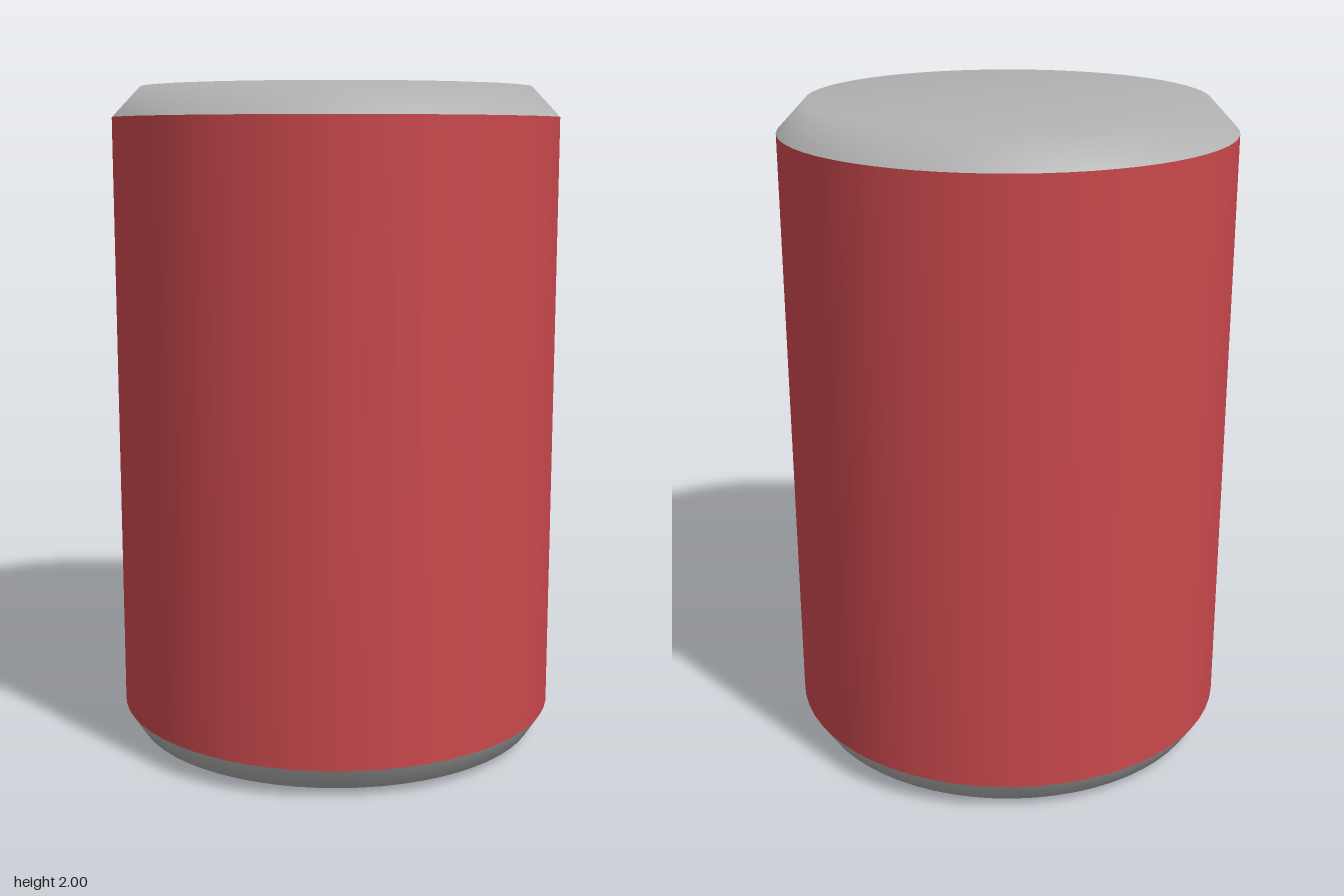
import * as THREE from 'three';

export function createModel() {
  const group = new THREE.Group();
  const red = new THREE.MeshStandardMaterial({ color: 0xc9484c });
  red.name = 'red paint';
  const metal = new THREE.MeshStandardMaterial({ color: 0xb2b2b2 });
  metal.name = 'bare metal';

  const add = (name, geometry, material) => {
    const mesh = new THREE.Mesh(geometry, material);
    mesh.name = name;
    group.add(mesh);
  };
  const vectors = (list) => list.map(([x, y]) => new THREE.Vector2(x, y));
  const turned = (list) => new THREE.LatheGeometry(vectors(list), 64);

  // Can wall and the two smooth, bevelled ends
  add('canBody', turned([[0.675, 0.095], [0.675, 1.91]]), red);
  add('bottomEnd', turned([[0, 0.025], [0.63, 0.025], [0.675, 0.095]]), metal);
  add('topEnd', turned([[0.675, 1.91], [0.59, 2], [0, 2]]), metal);

  // Flat pieces of the pull tab, laid out in x and z on the lower end
  const slab = (shape, bottom, top) => {
    const geometry = new THREE.ExtrudeGeometry(shape, { depth: top - bottom, bevelEnabled: false });
    return geometry.rotateX(Math.PI / 2).translate(0, top, 0);
  };

  // Faceted ring with a pointed end
  const ring = new THREE.Shape(vectors([
    [0.01, 0.44], [-0.09, 0.39], [-0.16, 0.28], [-0.165, 0.12], [-0.08, 0.01],
    [0.05, 0], [0.125, 0.07], [0.145, 0.21], [0.11, 0.31],
  ]));
  ring.holes.push(new THREE.Path(vectors([
    [0.005, 0.4], [-0.07, 0.365], [-0.13, 0.27], [-0.135, 0.13], [-0.065, 0.04],
    [0.04, 0.03], [0.1, 0.085], [0.115, 0.2], [0.085, 0.295],
  ])));
  add('pullRing', slab(ring, 0, 0.028), metal);

  // Small tongue filling the pointed end of the ring
  const tongue = new THREE.Shape(vectors([
    [0.005, 0.425], [-0.05, 0.35], [-0.025, 0.23], [0.025, 0.21], [0.095, 0.29],
  ]));
  add('pullTongue', slab(tongue, 0.004, 0.028), metal);

  return group;
}
